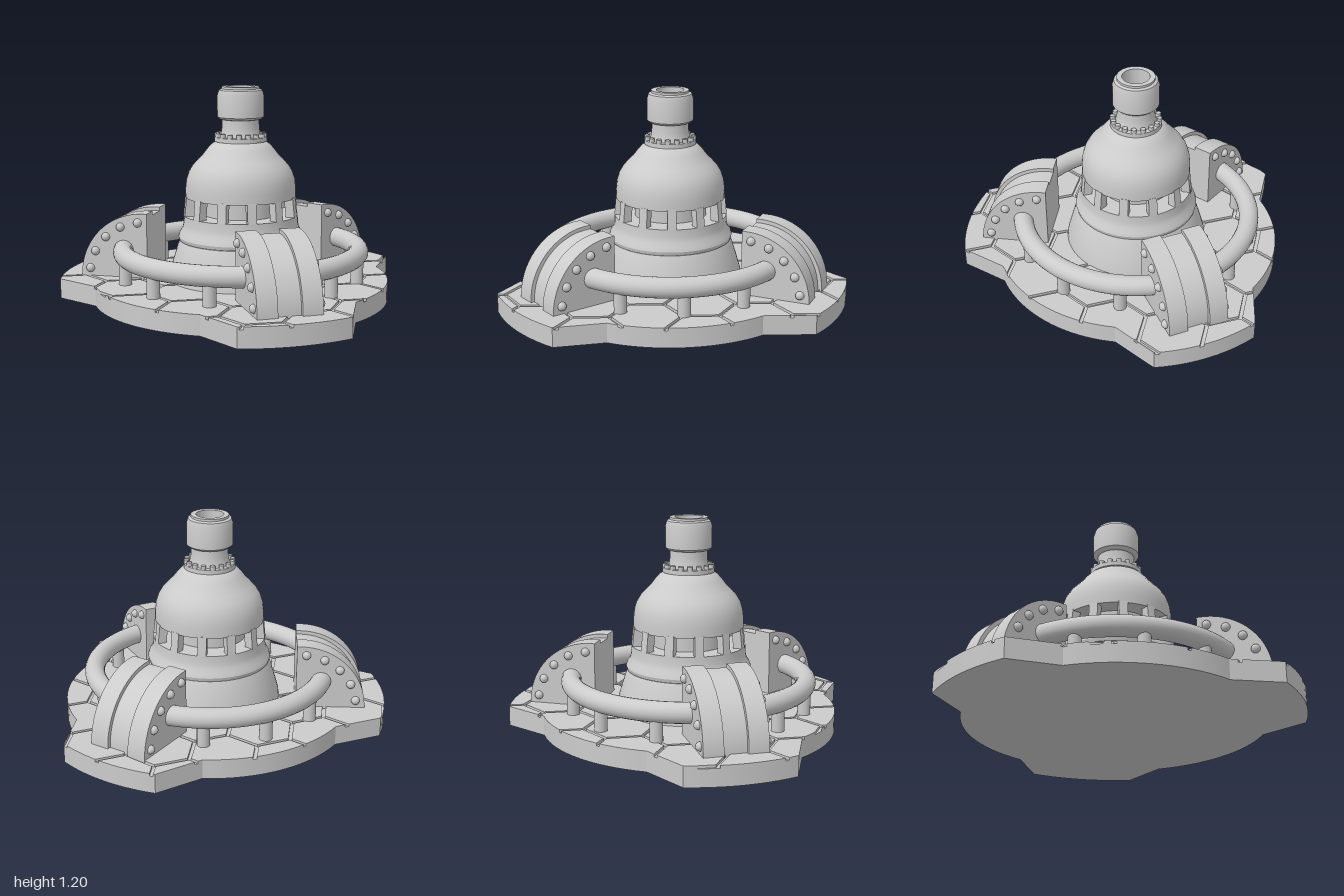
import * as THREE from 'three';
import { toCreasedNormals } from 'three/addons/utils/BufferGeometryUtils.js';

const mat = new THREE.MeshStandardMaterial({ color: 0xcccccc });
const rad = THREE.MathUtils.degToRad;
const LOBES = [25.1, 145.1, 265.1]; // lobe and clamp directions, from +x towards +z
const DECK = 0.112;

function add(parent, name, geometry) {
  const mesh = new THREE.Mesh(geometry, mat);
  mesh.name = name;
  parent.add(mesh);
  return mesh;
}

function lathe(points, segments = 64) {
  const profile = points.map(([r, y]) => new THREE.Vector2(r, y));
  return toCreasedNormals(new THREE.LatheGeometry(profile, segments), rad(28));
}

// Flat outline pushed upwards from y0 to y1
function slab(points, y0, y1) {
  const g = new THREE.ExtrudeGeometry(new THREE.Shape(points), { depth: y1 - y0, bevelEnabled: false });
  return toCreasedNormals(g.rotateX(-Math.PI / 2).translate(0, y0, 0), rad(20));
}

// Disc outline with three wider lobes
function baseOutline() {
  const pts = [];
  const arc = (r, from, to, n) => {
    for (let i = 0; i <= n; i++) {
      const a = rad(from + ((to - from) * i) / n);
      pts.push(new THREE.Vector2(r * Math.cos(a), -r * Math.sin(a)));
    }
  };
  for (const a of LOBES) {
    arc(1.027, a - 17, a + 17, 10);
    arc(0.836, a + 30.2, a + 89.8, 20);
  }
  return pts;
}

// Keep the part of an outline that lies inside a hexagon
function clipToHexagon(outline, cx, cy, apothem) {
  let pts = outline;
  for (let k = 0; k < 6; k++) {
    const a = rad(30 + 60 * k);
    const dist = (p) => (p.x - cx) * Math.cos(a) + (p.y - cy) * Math.sin(a) - apothem;
    const out = [];
    pts.forEach((p, i) => {
      const q = pts[(i + 1) % pts.length];
      const dp = dist(p), dq = dist(q);
      if (dp <= 0) out.push(p);
      if (dp * dq < 0) out.push(p.clone().lerp(q, dp / (dp - dq)));
    });
    pts = out;
  }
  return pts;
}

function createBase() {
  const base = new THREE.Group();
  base.name = 'base';
  const outline = baseOutline();
  add(base, 'baseSlab', slab(outline, 0, DECK - 0.015));
  // Hexagonal paving tiles with narrow gaps
  const side = 0.196, apothem = side * Math.sqrt(3) / 2;
  for (let i = -5; i <= 5; i++) {
    for (let j = -5; j <= 5; j++) {
      const cx = 0.07 + i * 1.5 * side;
      const cy = -0.81 + 0.34 * 2 + (j * 2 + (i & 1)) * apothem;
      const tile = clipToHexagon(outline, cx, cy, apothem - 0.01);
      if (tile.length > 2 && Math.abs(THREE.ShapeUtils.area(tile)) > 1e-4) {
        add(base, 'pavingTile', slab(tile, DECK - 0.016, DECK));
      }
    }
  }
  return base;
}

function createBell() {
  const bell = new THREE.Group();
  bell.name = 'bell';
  add(bell, 'foot', lathe([[0.413, 0.1], [0.408, 0.14], [0.385, 0.22], [0.36, 0.3], [0.345, 0.332], [0.3, 0.332]]));
  add(bell, 'skirt', lathe([
    [0.3, 0.33], [0.35, 0.335], [0.355, 0.355], [0.348, 0.375], [0.332, 0.4],
    [0.325, 0.43], [0.323, 0.476], [0.28, 0.476], [0.2, 0.476],
  ]));
  add(bell, 'core', new THREE.CylinderGeometry(0.207, 0.207, 0.14, 48).translate(0, 0.53, 0));
  add(bell, 'dome', lathe([
    [0.2, 0.578], [0.312, 0.578], [0.312, 0.63], [0.306, 0.68], [0.293, 0.72], [0.272, 0.755],
    [0.24, 0.79], [0.215, 0.815], [0.19, 0.848], [0.165, 0.876], [0.135, 0.895], [0.1, 0.9],
  ]));
  // Pillars between the windows
  for (let i = 0; i < 12; i++) {
    const holder = new THREE.Group();
    holder.name = 'windowPillar';
    holder.rotation.y = (i * Math.PI) / 6;
    const pillar = add(holder, 'pillar', new THREE.BoxGeometry(0.05, 0.112, 0.05));
    pillar.position.set(0, 0.528, 0.294);
    pillar.rotation.x = -0.1;
    bell.add(holder);
  }
  // Bolted flange, neck and hollow nozzle
  add(bell, 'flange', lathe([[0.1, 0.893], [0.147, 0.893], [0.147, 0.918], [0.1, 0.918]]));
  for (let i = 0; i < 16; i++) {
    const a = (i * Math.PI) / 8;
    add(bell, 'flangeBolt', new THREE.CylinderGeometry(0.015, 0.015, 0.03, 10))
      .position.set(0.132 * Math.cos(a), 0.924, 0.132 * Math.sin(a));
  }
  add(bell, 'nozzle', lathe([
    [0.117, 0.915], [0.11, 0.94], [0.105, 0.97], [0.104, 1.015], [0.118, 1.018], [0.131, 1.03],
    [0.131, 1.15], [0.122, 1.18], [0.107, 1.187], [0.107, 1.2], [0.078, 1.2], [0.078, 1.06], [0, 1.06],
  ], 48));
  return bell;
}

// Quarter-round outline in the radial and vertical directions
function quarterRound(inset) {
  const shape = new THREE.Shape();
  shape.moveTo(0.505, 0.1);
  shape.lineTo(0.505, 0.482 - inset);
  shape.lineTo(0.53, 0.482 - inset);
  for (let i = 1; i <= 24; i++) {
    const a = (i / 24) * Math.PI / 2;
    shape.lineTo(0.53 + (0.37 - inset) * Math.sin(a), DECK + (0.37 - inset) * Math.cos(a));
  }
  shape.lineTo(0.9 - inset, 0.1);
  return shape;
}

function createClamp() {
  const clamp = new THREE.Group();
  clamp.name = 'pipeClamp';
  const section = (name, inset, width, z) => {
    const g = new THREE.ExtrudeGeometry(quarterRound(inset), { depth: width, bevelEnabled: false });
    add(clamp, name, toCreasedNormals(g.translate(0, 0, z - width / 2), rad(20)));
  };
  section('clampCore', 0.022, 0.16, 0);
  for (const s of [-1, 1]) {
    section('clampCheek', 0, 0.11, s * 0.12);
    // Dome-headed bolts along the curved edge
    for (let i = 0; i < 5; i++) {
      const a = rad(6 + i * 19);
      add(clamp, 'clampBolt', new THREE.SphereGeometry(0.025, 12, 8))
        .position.set(0.525 + 0.325 * Math.sin(a), DECK + 0.32 * Math.cos(a), s * 0.176);
    }
  }
  return clamp;
}

export function createModel() {
  const model = new THREE.Group();
  model.name = 'bellFountain';
  const body = new THREE.Group();
  body.name = 'body';
  body.position.set(-0.02, 0, 0.09);
  model.add(body);
  body.add(createBase(), createBell());

  // Ring pipe around the bell
  const ring = add(body, 'ringPipe', new THREE.TorusGeometry(0.668, 0.057, 20, 96));
  ring.rotation.x = Math.PI / 2;
  ring.position.y = 0.27;

  for (const a of LOBES) {
    const clamp = createClamp();
    clamp.rotation.y = -rad(a);
    body.add(clamp);
    // Posts carrying the pipe between the clamps
    for (const step of [30, 60, 90]) {
      const b = rad(a + step);
      add(body, 'pipePost', new THREE.CylinderGeometry(0.036, 0.036, 0.16, 20))
        .position.set(0.668 * Math.cos(b), 0.18, 0.668 * Math.sin(b));
    }
  }
  return model;
}
